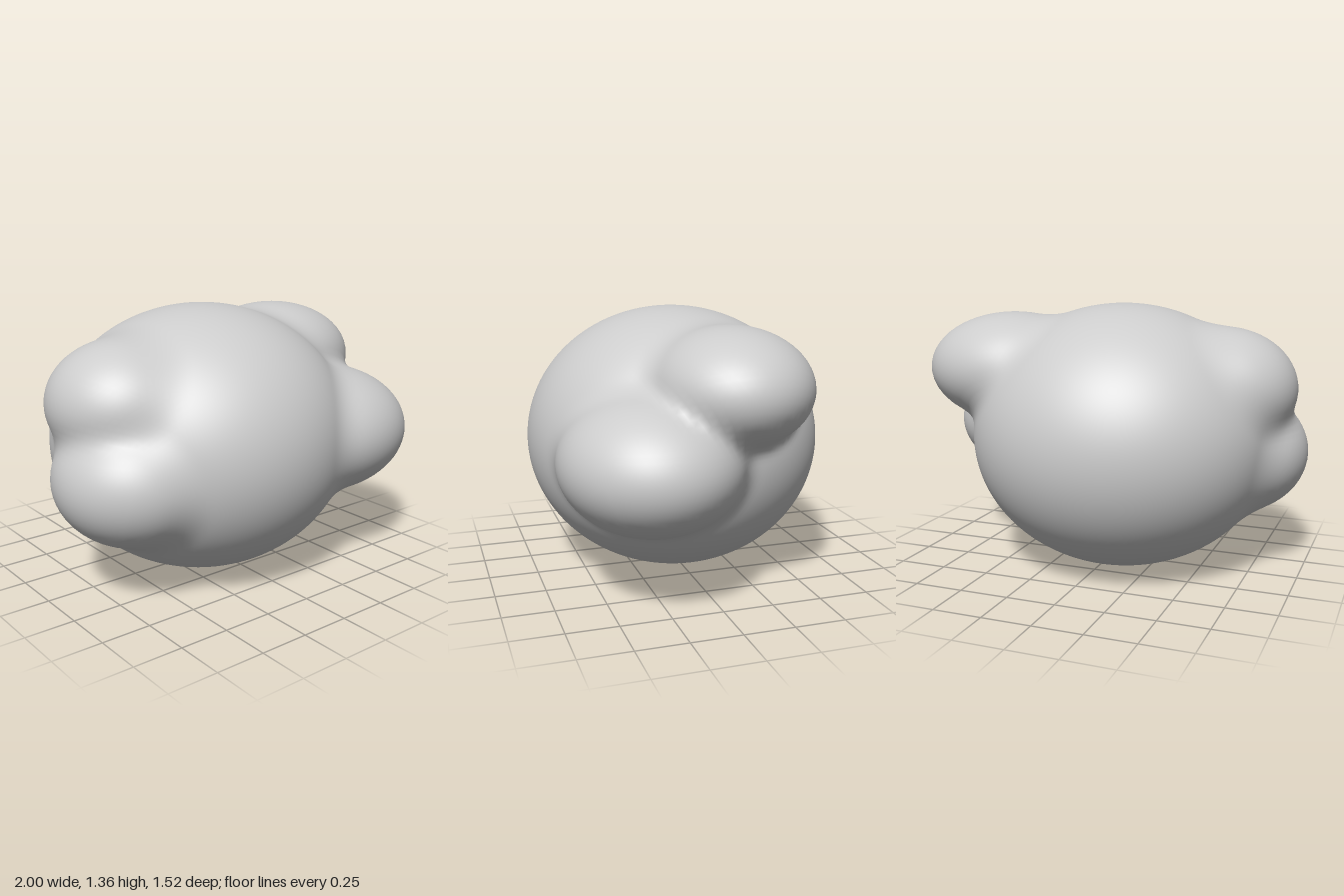
import * as THREE from 'three';
import { mergeVertices } from 'three/addons/utils/BufferGeometryUtils.js';

// Puffs of the cloud: centre and radii of each ellipsoid
const puffs = [
  { c: [-0.07, 0.68, 0], r: [0.79, 0.68, 0.76] },        // main body
  { c: [0.5, 1.02, -0.11], r: [0.46, 0.29, 0.39] },      // upper left puff
  { c: [0.5, 0.68, 0.28], r: [0.5, 0.335, 0.44] },       // lower left puff
  { c: [-0.6, 0.6, 0.18], r: [0.4, 0.33, 0.4] },         // lower right puff
  { c: [-0.57, 0.94, 0.06], r: [0.385, 0.31, 0.38] },    // upper right puff
];
const BLEND = 0.07;

// Approximate signed distance to one ellipsoid
function puffDistance(p, { c, r }) {
  const x = p.x - c[0], y = p.y - c[1], z = p.z - c[2];
  const k0 = Math.hypot(x / r[0], y / r[1], z / r[2]);
  const k1 = Math.hypot(x / r[0] ** 2, y / r[1] ** 2, z / r[2] ** 2);
  return k1 < 1e-6 ? -Math.min(...r) : k0 * (k0 - 1) / k1;
}

// Rounded union of all puffs
function cloudDistance(p) {
  return puffs.map((puff) => puffDistance(p, puff)).reduce((a, b) => {
    const h = Math.max(BLEND - Math.abs(a - b), 0) / BLEND;
    return Math.min(a, b) - h * h * BLEND / 4;
  });
}

// Shrink a sphere along its rays until it meets the puffs
function cloudGeometry() {
  let geometry = new THREE.IcosahedronGeometry(1, 30);
  geometry.deleteAttribute('normal');
  geometry.deleteAttribute('uv');
  geometry = mergeVertices(geometry, 1e-5);
  const origin = new THREE.Vector3(-0.02, 0.7, 0.03);
  const pos = geometry.attributes.position;
  const dir = new THREE.Vector3(), p = new THREE.Vector3();
  const at = (t) => cloudDistance(p.copy(origin).addScaledVector(dir, t));
  for (let i = 0; i < pos.count; i++) {
    dir.fromBufferAttribute(pos, i).normalize();
    let outer = 1.3;
    while (outer > 0.1 && at(outer) > 0) outer -= 0.02;
    let inner = outer;
    outer += 0.02;
    for (let n = 0; n < 12; n++) {
      const mid = (inner + outer) / 2;
      if (at(mid) > 0) outer = mid; else inner = mid;
    }
    at(inner);
    pos.setXYZ(i, p.x, p.y, p.z);
  }
  geometry.computeVertexNormals();
  return geometry;
}

export function createModel() {
  const group = new THREE.Group();
  group.name = 'cloud';
  const material = new THREE.MeshStandardMaterial({ color: 0xcccccc });
  material.name = 'cloud grey';
  const cloud = new THREE.Mesh(cloudGeometry(), material);
  cloud.name = 'cloudPuffs';
  group.add(cloud);
  return group;
}
